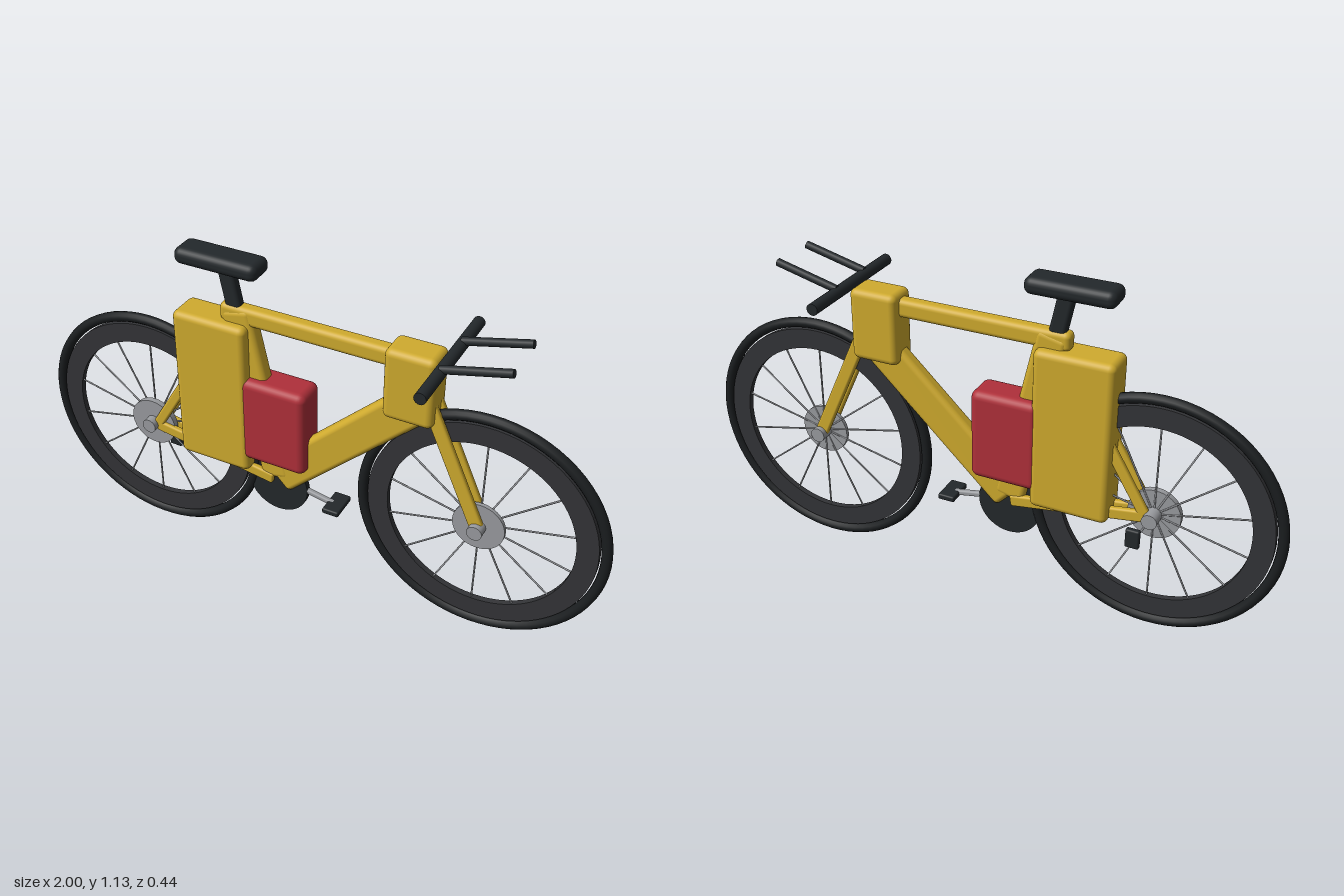
import * as THREE from 'three';
import { RoundedBoxGeometry } from 'three/addons/geometries/RoundedBoxGeometry.js';

const mat = (color) => new THREE.MeshStandardMaterial({ color });

export function createModel() {
  const bike = new THREE.Group();
  bike.name = 'bicycle';
  const yellow = mat(0xd0ab2e), red = mat(0xb0303a), silver = mat(0x9a9ca0);
  const black = mat(0x23282b), rubber = mat(0x1b1e20), rimGrey = mat(0x333437);

  const add = (name, geometry, material, x = 0, y = 0, z = 0, parent = bike) => {
    const mesh = new THREE.Mesh(geometry, material);
    mesh.name = name;
    mesh.position.set(x, y, z);
    parent.add(mesh);
    return mesh;
  };
  const block = (name, material, x0, x1, y0, y1, depth, r) =>
    add(name, new RoundedBoxGeometry(x1 - x0, y1 - y0, depth, 3, r), material, (x0 + x1) / 2, (y0 + y1) / 2);

  // Straight member between two points in the side plane
  const place = (mesh, a, b, z) => {
    mesh.position.set((a[0] + b[0]) / 2, (a[1] + b[1]) / 2, z);
    mesh.rotation.z = Math.atan2(b[1] - a[1], b[0] - a[0]) - Math.PI / 2;
  };
  const span = (a, b) => Math.hypot(b[0] - a[0], b[1] - a[1]);
  const bar = (name, material, a, b, width, depth, z = 0) =>
    place(add(name, new RoundedBoxGeometry(width, span(a, b), depth, 3, Math.min(width, depth) * 0.35), material), a, b, z);
  const rod = (name, material, a, b, r, z = 0) =>
    place(add(name, new THREE.CylinderGeometry(r, r, span(a, b), 16), material), a, b, z);
  const disc = (name, material, r, depth, x, y, z, parent) => {
    add(name, new THREE.CylinderGeometry(r, r, depth, 40), material, x, y, z, parent).rotation.x = Math.PI / 2;
  };

  // Wheels
  const axleY = 0.415, axleX = 0.588, spokeCount = 14;
  const rimShape = new THREE.Shape().absarc(0, 0, 0.373, 0, Math.PI * 2);
  rimShape.holes.push(new THREE.Path().absarc(0, 0, 0.305, 0, Math.PI * 2, true));
  const rimGeometry = new THREE.ExtrudeGeometry(rimShape, { depth: 0.02, bevelEnabled: false, curveSegments: 40 });
  const tyreGeometry = new THREE.TorusGeometry(0.394, 0.017, 12, 72);
  const spokeGeometry = new THREE.CylinderGeometry(0.003, 0.003, 0.29, 6);
  for (const [name, x] of [['rearWheel', -axleX], ['frontWheel', axleX]]) {
    const wheel = new THREE.Group();
    wheel.name = name;
    wheel.position.set(x, axleY, 0);
    bike.add(wheel);
    add('tyre', tyreGeometry, rubber, 0, 0, 0, wheel);
    add('rim', rimGeometry, rimGrey, 0, 0, -0.01, wheel);
    for (let i = 0; i < spokeCount; i++) {
      const t = (i / spokeCount) * Math.PI * 2;
      add('spoke', spokeGeometry, silver, -Math.sin(t) * 0.165, Math.cos(t) * 0.165, 0, wheel).rotation.z = t;
    }
    const flange = name === 'rearWheel' ? 0.02 : 0.013;
    disc('hubFlange', silver, 0.085, flange, 0, 0, flange / 2, wheel);
    disc('axle', silver, 0.025, 0.1, 0, 0, 0, wheel);
  }

  // Frame
  const bottom = [-0.11, 0.35], seatTop = [-0.245, 0.955], rear = [-axleX + 0.02, axleY];
  bar('topTube', yellow, [-0.3, 0.936], [0.32, 0.936], 0.062, 0.05);
  bar('downTube', yellow, bottom, [0.37, 0.805], 0.125, 0.052);
  bar('seatTube', yellow, bottom, seatTop, 0.105, 0.056);
  block('headBlock', yellow, 0.265, 0.428, 0.745, 0.985, 0.11, 0.022);
  for (const side of [1, -1]) {
    bar('chainStay', yellow, rear, [-0.12, 0.345], 0.04, 0.022, side * 0.021);
    bar('seatStay', yellow, rear, [-0.29, 0.88], 0.035, 0.022, side * 0.021);
    bar('forkBlade', yellow, [0.395, 0.84], [axleX, axleY], 0.045, 0.022, side * 0.021);
  }

  // Side case and battery-like box inside the frame
  block('rearCase', yellow, -0.455, -0.195, 0.365, 0.912, 0.12, 0.022);
  block('centreBox', red, -0.22, 0.01, 0.418, 0.727, 0.118, 0.026);

  // Saddle and post
  block('saddle', black, -0.44, -0.155, 1.075, 1.13, 0.1, 0.024);
  bar('seatPost', black, [-0.248, 0.93], [-0.283, 1.1], 0.054, 0.036);

  // Handlebar with two forward extensions
  add('handlebar', new THREE.CylinderGeometry(0.019, 0.019, 0.444, 20), black, 0.45, 0.978, 0).rotation.x = Math.PI / 2;
  for (const side of [1, -1]) {
    rod('barExtension', black, [0.45, 0.99], [0.66, 1.042], 0.013, side * 0.082);
  }

  // Drivetrain
  disc('chainring', black, 0.108, 0.02, -0.11, 0.318, 0);
  bar('crank', silver, [-0.11, 0.34], [0.1, 0.3], 0.018, 0.018);
  block('pedal', black, 0.072, 0.13, 0.291, 0.311, 0.1, 0.006);
  add('gearChanger', new RoundedBoxGeometry(0.046, 0.066, 0.02, 2, 0.006), black, -0.538, 0.333, -0.036);

  return bike;
}
